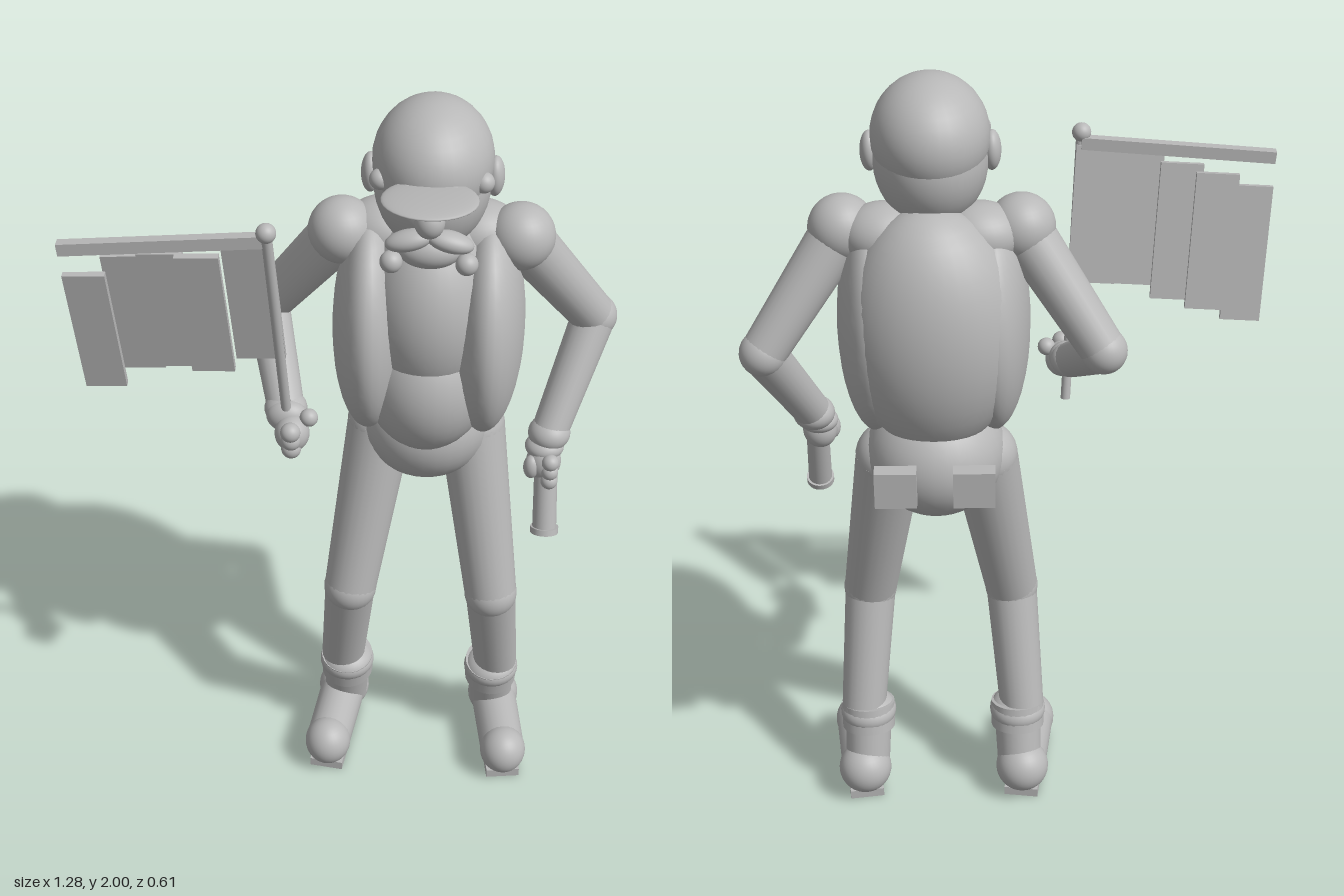
import * as THREE from 'three';

export function createModel() {
  const model = new THREE.Group();
  const clay = new THREE.MeshStandardMaterial({ color: 0xb8b8b8 });
  clay.name = 'clay grey';
  const V = (p) => new THREE.Vector3(...p);
  const MID = 0.19; // the figure's own centre line

  const add = (name, geometry, pos, parent = model) => {
    const mesh = new THREE.Mesh(geometry, clay);
    mesh.name = name;
    mesh.position.set(...pos);
    parent.add(mesh);
    return mesh;
  };
  // ellipsoid; r is a number or three radii
  const ball = (name, pos, r, parent) => {
    const mesh = add(name, new THREE.SphereGeometry(1, 32, 20), pos, parent);
    mesh.scale.set(...(Array.isArray(r) ? r : [r, r, r]));
    return mesh;
  };
  // tapered cylinder from a to b
  const limb = (name, a, b, ra, rb, parent) => {
    const A = V(a), B = V(b), dir = B.clone().sub(A);
    const mesh = add(name, new THREE.CylinderGeometry(rb, ra, dir.length(), 24),
      A.clone().add(B).multiplyScalar(0.5).toArray(), parent);
    mesh.quaternion.setFromUnitVectors(new THREE.Vector3(0, 1, 0), dir.normalize());
    return mesh;
  };
  const box = (name, size, pos, parent) => add(name, new THREE.BoxGeometry(...size), pos, parent);

  // head and cap
  ball('head', [MID, 1.805, -0.01], [0.134, 0.16, 0.155]);
  ball('capDome', [MID, 1.86, -0.01], [0.1375, 0.14, 0.163]);
  ball('visor', [MID, 1.868, 0.195], [0.107, 0.012, 0.107]).rotation.x = -0.1;
  ball('nose', [MID, 1.795, 0.165], [0.034, 0.038, 0.034]);
  ball('chin', [MID, 1.69, 0.1], [0.075, 0.045, 0.05]);
  limb('neck', [MID, 1.58, -0.04], [MID, 1.72, -0.02], 0.09, 0.08);

  // torso
  ball('back', [MID, 1.415, -0.125], [0.21, 0.31, 0.178]);
  ball('shirt', [MID, 1.47, -0.03], [0.16, 0.25, 0.185]);
  ball('belly', [MID, 1.27, -0.03], [0.16, 0.2, 0.19]);
  ball('pelvis', [MID, 1.08, -0.11], [0.17, 0.16, 0.17]);

  // paired parts, s = -1 is the model's right
  for (const s of [-1, 1]) {
    const X = (d) => MID + s * d;
    ball('ear', [X(0.14), 1.82, -0.008], [0.022, 0.048, 0.035]);
    ball('eye', [X(0.05), 1.848, 0.14], 0.024);
    ball('templeHair', [X(0.115), 1.845, 0.07], 0.024);
    ball('moustache', [X(0.046), 1.735, 0.143], [0.055, 0.024, 0.03]).rotation.z = -s * 0.25;
    ball('collarTip', [X(0.085), 1.67, 0.13], 0.026);
    ball('vestPanel', [X(0.14), 1.4, -0.04], [0.09, 0.28, 0.21]);
    ball('collar', [X(0.11), 1.64, -0.07], [0.1, 0.075, 0.085]);
    ball('shoulder', [X(0.208), 1.645, -0.045], 0.08);
    box('backPocket', [0.1, 0.095, 0.04], [X(0.093), 1.083, -0.285]);

    // leg
    const hip = [X(0.115), 1.06, -0.1], knee = [X(0.185), 0.59, 0.005], ankle = [X(0.212), 0.25, -0.085];
    ball('hip', hip, 0.084);
    limb('thigh', hip, knee, 0.084, 0.068);
    ball('knee', knee, 0.069);
    limb('shin', knee, ankle, 0.066, 0.058);
    limb('bootCuff', [X(0.2), 0.2, -0.09], [X(0.2), 0.27, -0.075], 0.07, 0.07);
    ball('bootCuffRoll', [X(0.2), 0.245, -0.08], [0.074, 0.05, 0.074]);
    limb('bootShaft', [X(0.205), 0.09, -0.12], [X(0.2), 0.24, -0.08], 0.058, 0.062);

    // boot
    const heel = [X(0.212), 0.09, -0.135], toe = [X(0.242), 0.08, 0.08];
    ball('heel', heel, 0.07);
    limb('bootFoot', heel, toe, 0.062, 0.06);
    ball('toe', toe, [0.062, 0.066, 0.066]);
    const sole = box('sole', [0.09, 0.025, 0.27], [X(0.227), 0.0125, -0.025]);
    sole.rotation.y = s * 0.14;

    // arm
    const elbow = [X(0.4), 1.37, -0.145];
    const wrist = s > 0 ? [0.495, 1.12, 0.005] : [-0.145, 1.22, 0.085];
    limb('upperArm', [X(0.208), 1.645, -0.045], elbow, 0.066, 0.054);
    ball('elbow', elbow, 0.056);
    limb('forearm', elbow, wrist, 0.054, 0.045);
    ball('wristCuff', wrist, [0.052, 0.042, 0.052]);
  }

  // left hand holding a short baton
  ball('leftCuff', [0.485, 1.09, 0.02], [0.048, 0.03, 0.045]);
  ball('leftHand', [0.485, 1.055, 0.035], [0.043, 0.05, 0.04]);
  ball('leftThumb', [0.455, 1.05, 0.055], [0.02, 0.032, 0.022]);
  for (let i = 0; i < 3; i++) ball('leftFinger', [0.5, 1.075 - i * 0.028, 0.07], 0.021);
  limb('baton', [0.49, 1.1, 0.02], [0.497, 0.875, 0.085], 0.028, 0.03);
  limb('batonCap', [0.497, 0.885, 0.082], [0.497, 0.87, 0.087], 0.035, 0.035);

  // right hand gripping the pole
  ball('rightCuff', [-0.14, 1.215, 0.11], [0.05, 0.042, 0.035]);
  ball('rightHand', [-0.125, 1.19, 0.145], [0.042, 0.045, 0.045]);
  ball('rightThumb', [-0.085, 1.23, 0.135], 0.022);
  for (let i = 0; i < 3; i++) ball('rightFinger', [-0.125, 1.22 - i * 0.028, 0.185 - i * 0.006], 0.024);

  // flag: pole, top bar and five staggered strips
  limb('flagPole', [-0.133, 1.1, 0.1], [-0.165, 1.765, 0.205], 0.012, 0.012);
  ball('finial', [-0.166, 1.775, 0.203], 0.023);
  box('flagBar', [0.47, 0.03, 0.025], [-0.4, 1.733, 0.195]).rotation.z = 0.085;
  const strips = [
    [-0.202, 1.575, 0.168, 0.115],
    [-0.31, 1.555, 0.198, 0.1],
    [-0.4, 1.535, 0.155, 0.104],
    [-0.485, 1.515, 0.138, 0.104],
    [-0.574, 1.473, 0.16, 0.098],
  ];
  for (const [x, y, z, w] of strips)
    box('flagStrip', [w, 0.342, 0.016], [x, y, z]).rotation.set(0.155, 0, 0.055);

  return model;
}
